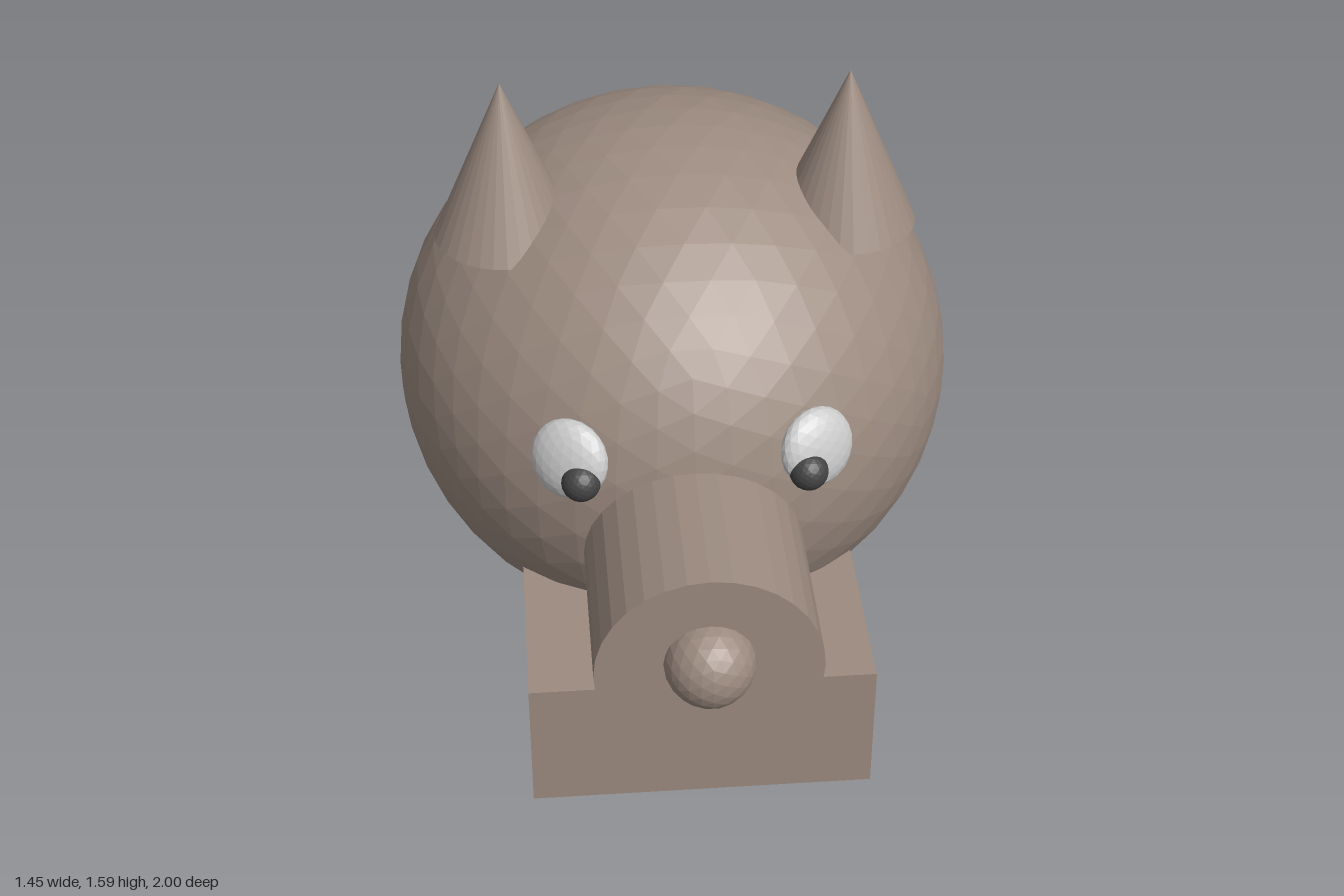
import * as THREE from 'three';

export function createModel() {
  const group = new THREE.Group();
  const paint = (color) => new THREE.MeshStandardMaterial({ color, flatShading: true });
  const skin = paint(0x9c8b80);
  const white = paint(0xcccccc);
  const dark = paint(0x444444);

  const add = (name, geometry, material, x, y, z) => {
    const mesh = new THREE.Mesh(geometry, material);
    mesh.name = name;
    mesh.position.set(x, y, z);
    group.add(mesh);
    return mesh;
  };

  // Round head, slightly longer than tall
  const head = add('head', new THREE.IcosahedronGeometry(1, 7), skin, 0, 0.697, -0.245);
  head.scale.set(0.727, 0.69, 0.755);

  // Snout with a ball nose on its end
  const snout = add('snout', new THREE.CylinderGeometry(0.272, 0.272, 0.64, 32), skin, 0, 0.575, 0.57);
  snout.rotation.x = Math.PI / 2;
  add('nose', new THREE.IcosahedronGeometry(0.109, 3), skin, 0, 0.605, 0.891);

  // Block jaw
  add('jaw', new THREE.BoxGeometry(0.85, 0.36, 0.6), skin, 0, 0.21, 0.435);

  // Mirrored ears, eyes and pupils
  for (const [side, s] of [['left', 1], ['right', -1]]) {
    add(side + 'Ear', new THREE.ConeGeometry(0.18, 0.42, 32), skin, s * 0.427, 1.39, -0.107);

    // Flattened eye lying against the head
    const eye = add(side + 'Eye', new THREE.IcosahedronGeometry(1, 3), white, s * 0.3, 0.865, 0.432);
    eye.scale.set(0.102, 0.102, 0.047);
    const normal = new THREE.Vector3(s * 0.48, 0.27, 0.83);
    eye.lookAt(eye.position.clone().add(normal));

    add(side + 'Pupil', new THREE.IcosahedronGeometry(0.048, 3), dark, s * 0.275, 0.832, 0.483);
  }
  return group;
}
